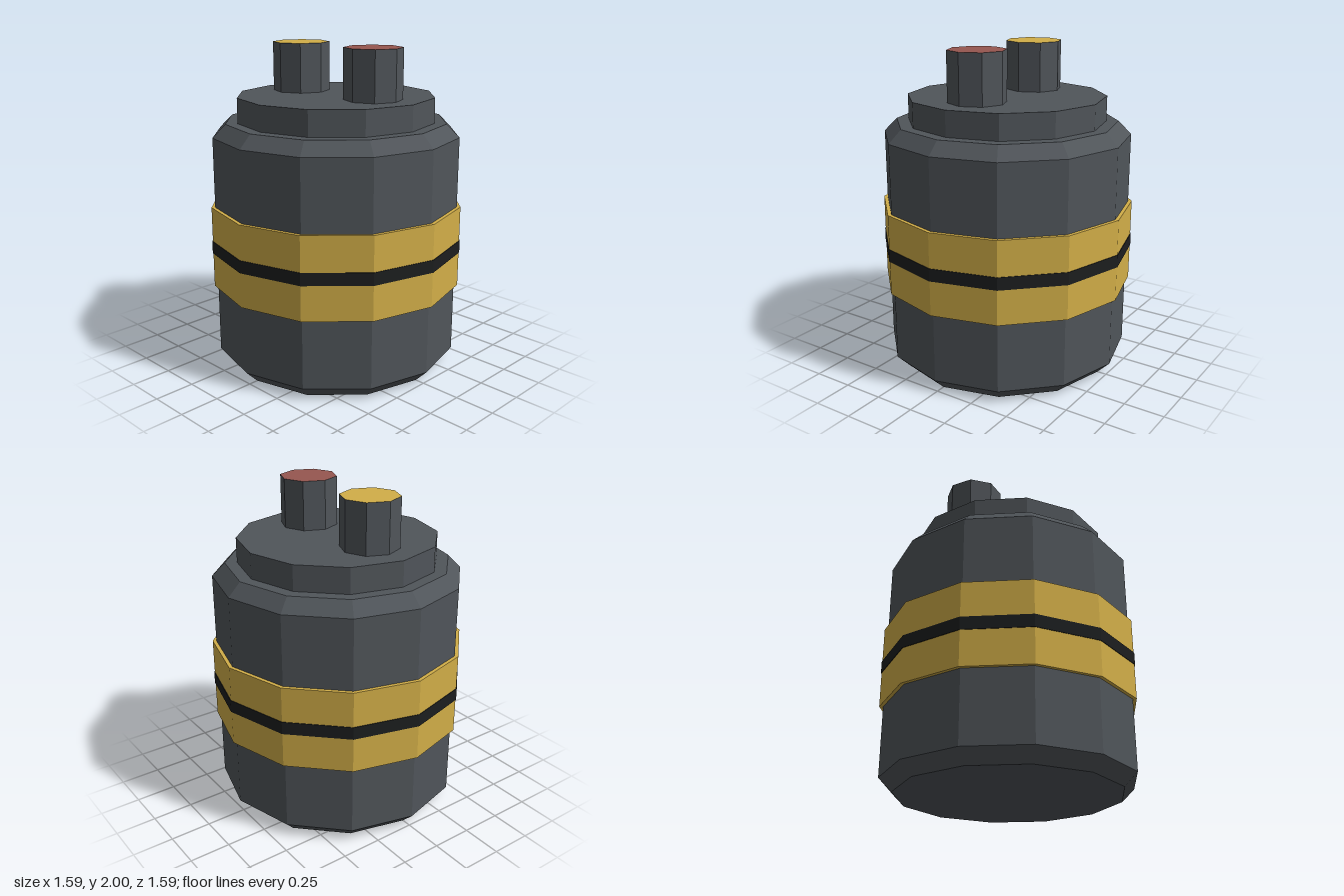
import * as THREE from 'three';

const flat = (name, color) => {
  const m = new THREE.MeshStandardMaterial({ color, flatShading: true });
  m.name = name;
  return m;
};

export function createModel() {
  const casing = flat('dark grey', 0x50555a);
  const gold = flat('gold', 0xd2ae48);
  const black = flat('black', 0x1c1e1f);
  const red = flat('dull red', 0x965650);

  const model = new THREE.Group();
  model.name = 'canister';

  const add = (name, geometry, material, x = 0, y = 0) => {
    const mesh = new THREE.Mesh(geometry, material);
    mesh.name = name;
    mesh.position.set(x, y, 0);
    model.add(mesh);
  };

  // Upright prism between two heights
  const prism = (name, radius, y0, y1, sides, material, x = 0) =>
    add(name, new THREE.CylinderGeometry(radius, radius, y1 - y0, sides), material, x, (y0 + y1) / 2);

  // Twelve-sided body with chamfered rims
  const profile = [[0, 0], [0.69, 0], [0.77, 0.08], [0.77, 1.46], [0.69, 1.54], [0, 1.54]]
    .map(([r, y]) => new THREE.Vector2(r, y));
  add('body', new THREE.LatheGeometry(profile, 12), casing);

  // Lid
  prism('lid', 0.615, 1.53, 1.695, 12, casing);

  // Gold band in two halves around a black stripe
  prism('lowerBand', 0.793, 0.515, 0.732, 12, gold);
  prism('stripe', 0.797, 0.732, 0.81, 12, black);
  prism('upperBand', 0.793, 0.81, 1.027, 12, gold);

  // Terminals with coloured end faces (groups: side, top, bottom)
  prism('rightTerminal', 0.178, 1.69, 2, 8, [casing, gold, casing], -0.308);
  prism('leftTerminal', 0.178, 1.69, 2, 8, [casing, red, casing], 0.308);

  return model;
}
